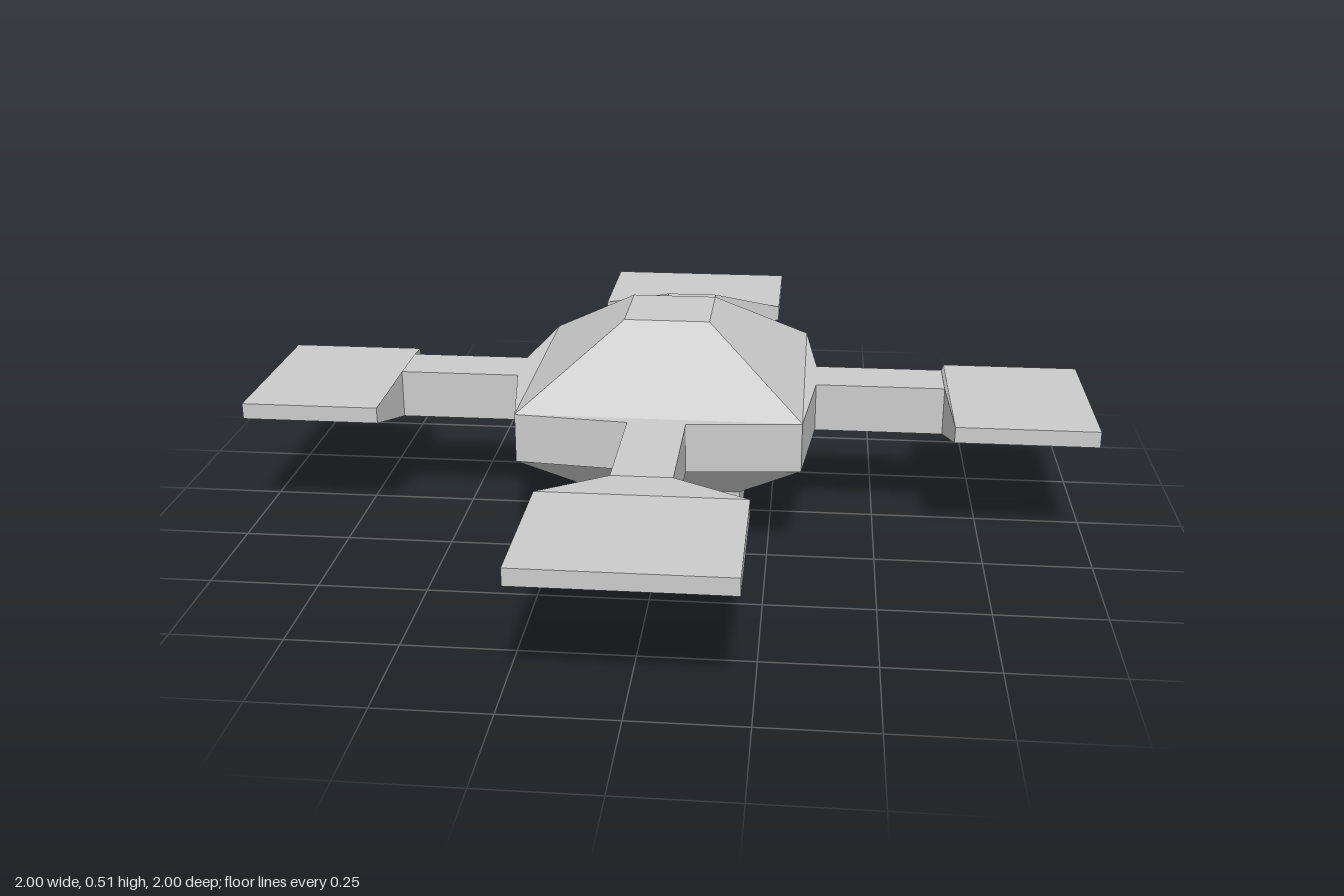
import * as THREE from 'three';

const material = new THREE.MeshStandardMaterial({ color: 0xcccccc, flatShading: true });
const LOW = 0.24, HIGH = 0.355; // deck of the hub and thickness of the arms
const MID_Z = -0.016; // hub centre

// Joins rings of points (counter-clockwise about the direction of travel), with flat end caps
function loft(name, rings) {
  const n = rings[0].length;
  const positions = [];
  const tri = (a, b, c) => positions.push(...a, ...b, ...c);
  for (let r = 0; r < rings.length - 1; r++) {
    const a = rings[r], b = rings[r + 1];
    for (let i = 0; i < n; i++) {
      const j = (i + 1) % n;
      tri(a[i], a[j], b[j]);
      tri(a[i], b[j], b[i]);
    }
  }
  const first = rings[0], last = rings[rings.length - 1];
  for (let i = 1; i < n - 1; i++) {
    tri(first[0], first[i + 1], first[i]);
    tri(last[0], last[i], last[i + 1]);
  }
  const geometry = new THREE.BufferGeometry();
  geometry.setAttribute('position', new THREE.Float32BufferAttribute(positions, 3));
  geometry.computeVertexNormals();
  const mesh = new THREE.Mesh(geometry, material);
  mesh.name = name;
  return mesh;
}

// Horizontal square ring at height y
const square = (h, y) => [[-h, h], [h, h], [h, -h], [-h, -h]].map(([x, z]) => [x, y, z + MID_Z]);

// Upright rectangular ring at distance z along an arm
const section = (w, y0, y1, z) => [[-w, y0, z], [w, y0, z], [w, y1, z], [-w, y1, z]];

export function createModel() {
  const model = new THREE.Group();
  model.name = 'crossStation';

  // Hub: base block, flared underside, deck with bulged sides, truncated pyramid roof
  const deck = (y) => [
    [-0.325, 0.31], [-0.065, 0.335], [0.065, 0.335],
    [0.325, 0.31], [0.353, 0.05], [0.353, -0.083],
    [0.325, -0.34], [0.065, -0.37], [-0.065, -0.37],
    [-0.325, -0.34], [-0.365, -0.083], [-0.365, 0.05],
  ].map(([x, z]) => [x, y, z]);
  model.add(
    loft('base', [square(0.18, 0), square(0.18, 0.12)]),
    loft('underside', [square(0.18, 0.12), square(0.325, LOW)]),
    loft('deck', [deck(LOW), deck(HIGH)]),
    loft('roof', [square(0.325, HIGH), square(0.1, 0.515)]),
  );

  // Arms: square beam flaring into a wide thin paddle
  const arms = [
    { name: 'frontArm', turn: 0, root: 0.335, end: 0.635, paddle: 0.645, half: 0.225 },
    { name: 'leftArm', turn: 1, root: 0.353, end: 0.655, paddle: 0.672, half: 0.216 },
    { name: 'backArm', turn: 2, root: 0.37, end: 0.66, paddle: 0.685, half: 0.243 },
    { name: 'rightArm', turn: 3, root: 0.365, end: 0.65, paddle: 0.675, half: 0.219 },
  ];
  for (const { name, turn, root, end, paddle, half } of arms) {
    const arm = loft(name, [
      section(0.066, LOW, HIGH, root),
      section(0.066, LOW, HIGH, end),
      section(half, 0.279, 0.317, paddle),
      section(half, 0.279, 0.317, 1),
    ]);
    arm.rotation.y = turn * Math.PI / 2;
    if (turn % 2) arm.position.z = MID_Z;
    model.add(arm);
  }
  return model;
}
